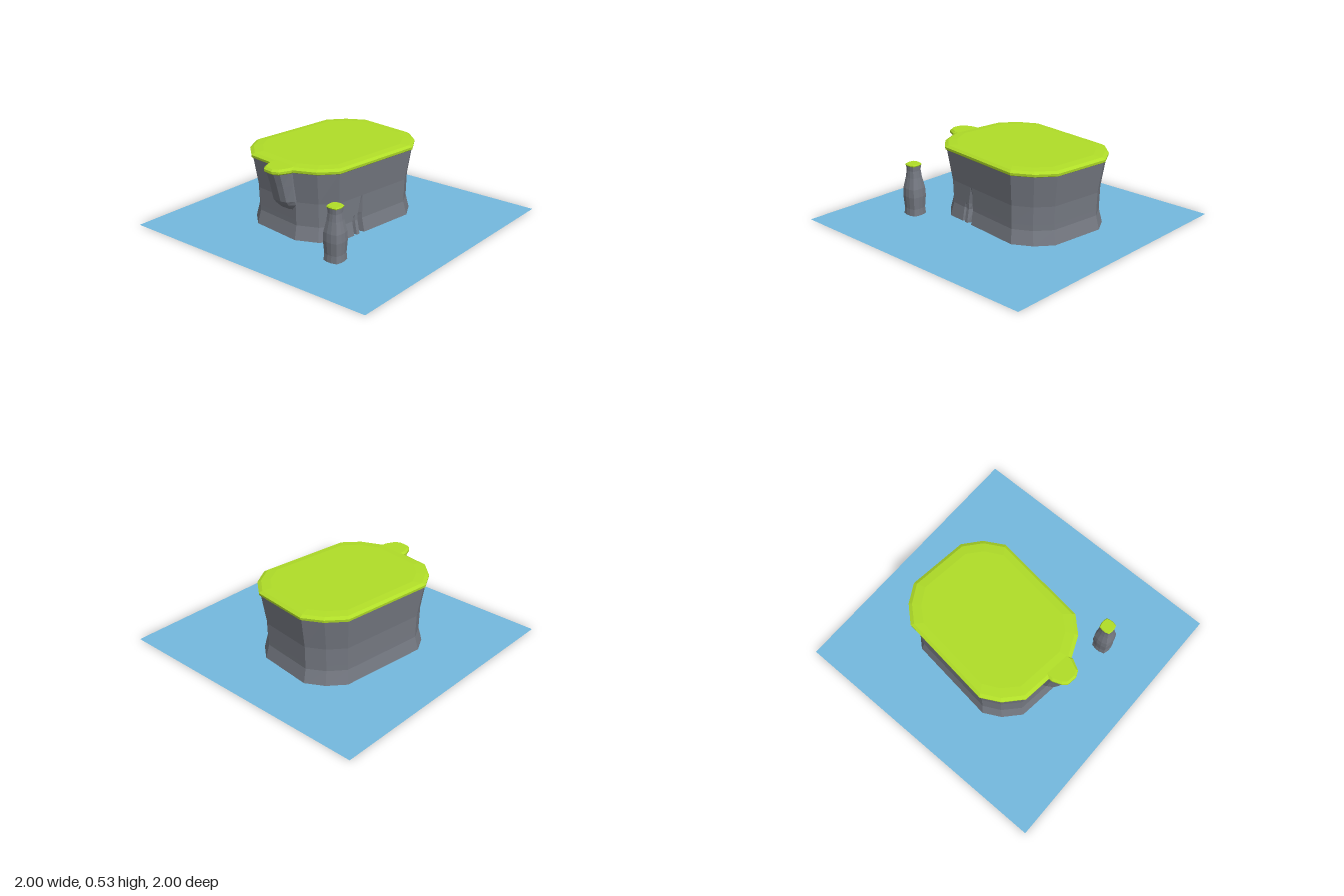
import * as THREE from 'three';

const rock = new THREE.MeshStandardMaterial({ color: 0x757982, flatShading: true });
const grass = new THREE.MeshStandardMaterial({ color: 0xb0dd28, flatShading: true });
const water = new THREE.MeshStandardMaterial({ color: 0x74b9de, side: THREE.DoubleSide });

// Closed solid from rings listed bottom to top, each clockwise as seen from above
function loft(name, rings, material) {
  const n = rings[0].length;
  const pos = rings.flat(2);
  const idx = [];
  for (let r = 0; r < rings.length - 1; r++) {
    for (let i = 0; i < n; i++) {
      const a = r * n + i, b = r * n + (i + 1) % n;
      idx.push(a, a + n, b, b, a + n, b + n);
    }
  }
  // Fan caps at both ends
  for (const [r, top] of [[0, false], [rings.length - 1, true]]) {
    const c = pos.length / 3;
    for (let k = 0; k < 3; k++) pos.push(rings[r].reduce((s, p) => s + p[k], 0) / n);
    for (let i = 0; i < n; i++) {
      const a = r * n + i, b = r * n + (i + 1) % n;
      idx.push(c, top ? b : a, top ? a : b);
    }
  }
  const geo = new THREE.BufferGeometry();
  geo.setAttribute('position', new THREE.Float32BufferAttribute(pos, 3));
  geo.setIndex(idx);
  geo.computeVertexNormals();
  const mesh = new THREE.Mesh(geo, material);
  mesh.name = name;
  return mesh;
}

// Outline at height y, pulled towards its centre by a distance
const ring = (outline, [cx, cz], y, inset) => outline.map(([x, z]) => {
  const k = 1 - inset / Math.hypot(x - cx, z - cz);
  return [cx + (x - cx) * k, y, cz + (z - cz) * k];
});

const island = [
  [-0.26, -0.64], [0.17, -0.59], [0.29, -0.49], [0.37, -0.35], [0.285, 0.35], [0.18, 0.46],
  [0.02, 0.53], [-0.39, 0.48], [-0.51, 0.37], [-0.58, 0.24], [-0.5, -0.45], [-0.395, -0.565],
];
const centre = [-0.105, -0.05];

// Cliff ring with two cracks cut into the long side on +x
function cliffRing(y, inset, depths) {
  const pts = ring(island, centre, y, inset);
  const from = pts[3], to = pts[4];
  const cracks = [[0.095, 0.11, 0.14, depths[0]], [0.165, 0.175, 0.19, depths[1]]];
  const extra = cracks.flatMap(([z0, z1, z2, d]) => [[z0, 0], [z1, d], [z2, 0]]).map(([z, d]) => {
    const t = (z - from[2]) / (to[2] - from[2]);
    return [from[0] + (to[0] - from[0]) * t - d, y, z];
  });
  pts.splice(4, 0, ...extra);
  return pts;
}

// Tongue-shaped ledge on the front wall
const tongue = [
  [0.03, 0.43], [0.03, 0.54], [-0.01, 0.615], [-0.055, 0.635],
  [-0.13, 0.625], [-0.155, 0.595], [-0.18, 0.53], [-0.18, 0.43],
];
const ledgeRing = (y, kx, kz) => tongue.map(([x, z]) => [-0.078 + (x + 0.075) * kx, y, 0.43 + (z - 0.43) * kz]);

// Rounded-square ring for the free-standing stack
function stackRing(y, half) {
  return Array.from({ length: 12 }, (_, i) => {
    const a = (i + 0.5) * Math.PI / 6;
    const c = Math.cos(a), s = Math.sin(a);
    const k = half / Math.pow(c ** 4 + s ** 4, 0.25);
    return [0.41 + c * k, y, 0.55 + s * k];
  });
}

export function createModel() {
  const model = new THREE.Group();
  model.name = 'cliffIsland';

  // Water sheet
  const sea = new THREE.Mesh(new THREE.PlaneGeometry(2, 2).rotateX(-Math.PI / 2), water);
  sea.name = 'water';
  model.add(sea);

  // Main island
  model.add(loft('cliff', [
    cliffRing(0, 0.03, [0.07, 0.05]),
    cliffRing(0.1, 0.055, [0.04, 0.015]),
    cliffRing(0.14, 0.054, [0.028, 0]),
    cliffRing(0.27, 0.05, [0, 0]),
    cliffRing(0.5, 0.012, [0, 0]),
  ], rock));
  model.add(loft('grassTop', [[0.488, 0.02], [0.498, 0.002], [0.515, 0], [0.528, 0.025], [0.534, 0.09]]
    .map(([y, inset]) => ring(island, centre, y, inset)), grass));

  // Front ledge
  model.add(loft('ledgeRock', [[0.2, 0.84, 0.2], [0.25, 0.88, 0.48], [0.28, 0.9, 0.6], [0.4, 0.9, 0.76], [0.505, 0.93, 0.93]]
    .map((p) => ledgeRing(...p)), rock));
  model.add(loft('ledgeGrass', [[0.492, 0.94, 0.96], [0.5, 1, 1], [0.516, 1, 1], [0.529, 0.86, 0.93]]
    .map((p) => ledgeRing(...p)), grass));

  // Sea stack
  model.add(loft('stackRock', [[0, 0.065], [0.05, 0.061], [0.14, 0.068], [0.2, 0.065], [0.28, 0.048], [0.33, 0.042], [0.37, 0.044]]
    .map((p) => stackRing(...p)), rock));
  model.add(loft('stackGrass', [[0.366, 0.046], [0.373, 0.049], [0.38, 0.044]]
    .map((p) => stackRing(...p)), grass));

  return model;
}
